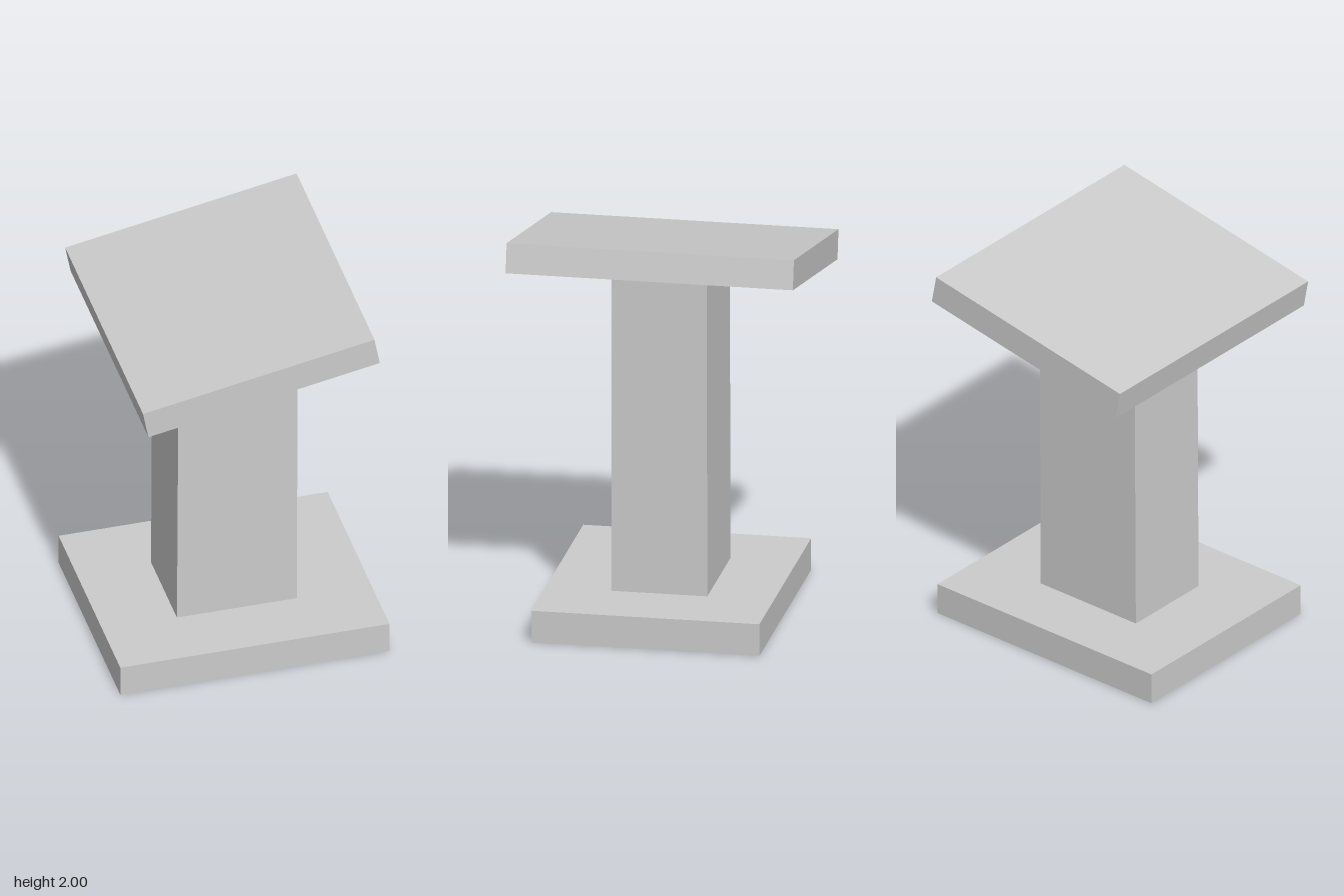
import * as THREE from 'three';

const material = new THREE.MeshStandardMaterial({ color: 0xcccccc, flatShading: true });

function addPart(group, name, geometry, x, y, z) {
  const mesh = new THREE.Mesh(geometry, material);
  mesh.name = name;
  mesh.position.set(x, y, z);
  group.add(mesh);
  return mesh;
}

export function createModel() {
  const group = new THREE.Group();
  group.name = 'lectern';

  // Flat foot slab
  addPart(group, 'base', new THREE.BoxGeometry(1.36, 0.162, 1.13), 0, 0.081, 0);

  // Column, very slightly leaning, with its top cut to the slope of the desk
  const outline = new THREE.Shape([
    new THREE.Vector2(-0.304, 0.15),
    new THREE.Vector2(0.302, 0.15),
    new THREE.Vector2(0.307, 1.81),
    new THREE.Vector2(-0.296, 1.696),
  ]);
  const depth = 0.475;
  const column = new THREE.ExtrudeGeometry(outline, { depth, bevelEnabled: false });
  addPart(group, 'column', column, 0, 0, 0.002 - depth / 2);

  // Tilted desk top, rising towards +x
  const desk = addPart(group, 'deskTop', new THREE.BoxGeometry(1.19, 0.148, 1.425), -0.007, 1.818, -0.002);
  desk.rotation.z = Math.atan2(0.22, 1.168);

  return group;
}
